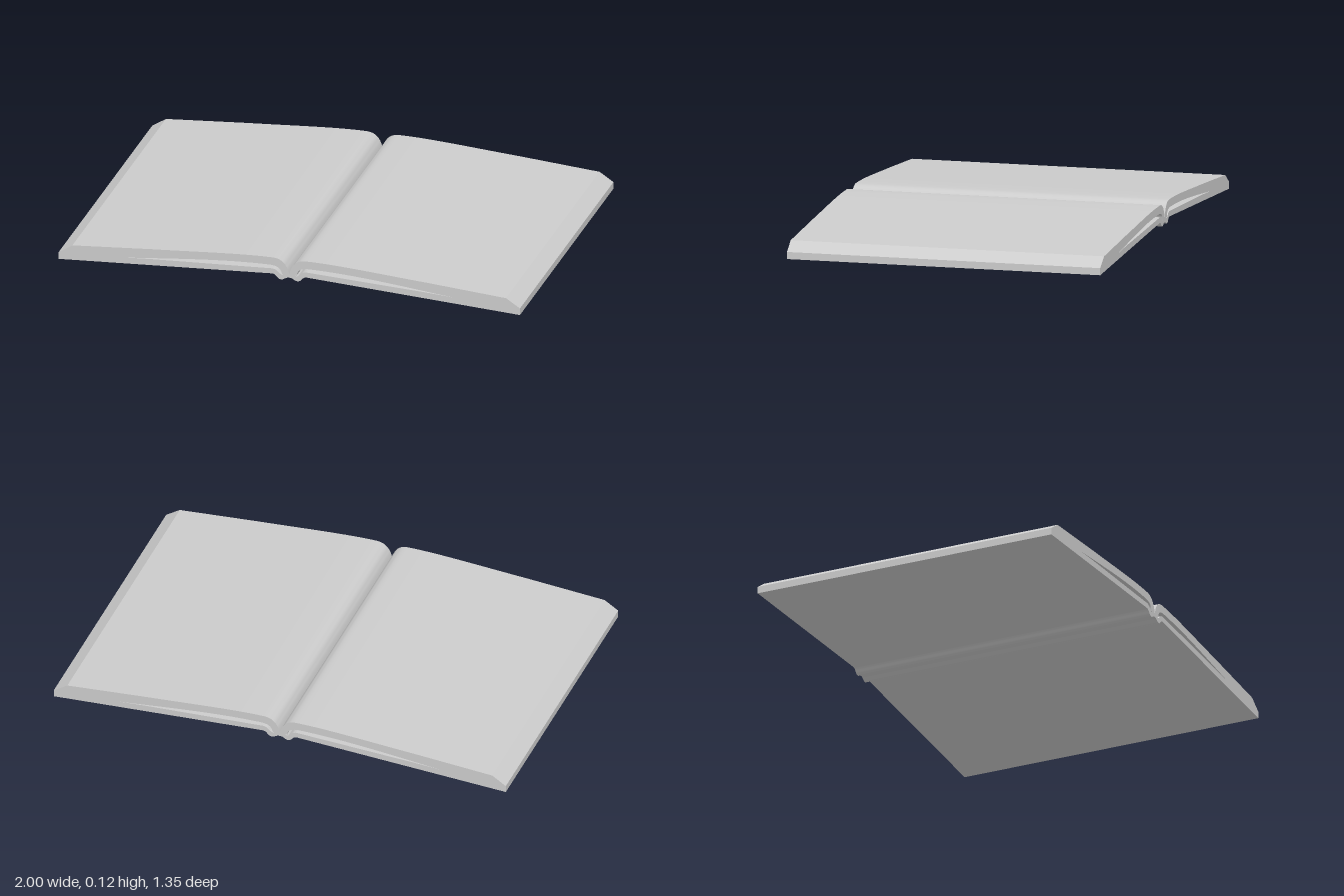
import * as THREE from 'three';
import { toCreasedNormals } from 'three/addons/utils/BufferGeometryUtils.js';

const DEPTH = 1.35;
const material = new THREE.MeshStandardMaterial({ color: 0xcccccc });

// Mirrors a half profile (spine top -> outer edge -> spine bottom) and extrudes it along z
function mirroredSlab(name, path) {
  const half = path.getPoints(10);
  const inner = half.slice(1, -1).reverse().map(p => new THREE.Vector2(-p.x, p.y));
  const outline = new THREE.Shape([...half, ...inner]);
  const geometry = new THREE.ExtrudeGeometry(outline, { depth: DEPTH, bevelEnabled: false });
  geometry.translate(0, 0, -DEPTH / 2);
  const mesh = new THREE.Mesh(toCreasedNormals(geometry, 0.5), material);
  mesh.name = name;
  return mesh;
}

export function createModel() {
  const book = new THREE.Group();
  book.name = 'openBook';

  // Pages: rise out of the gutter, slope to a bevelled fore edge, hollow beneath
  const pages = new THREE.Path();
  pages.moveTo(0, 0.058);
  pages.bezierCurveTo(0.01, 0.1, 0.03, 0.124, 0.07, 0.125);
  pages.bezierCurveTo(0.2, 0.127, 0.4, 0.108, 0.6, 0.095);
  pages.lineTo(0.94, 0.069);
  pages.lineTo(1, 0.03);
  pages.lineTo(1, 0.018);
  pages.lineTo(0.72, 0.042);
  pages.bezierCurveTo(0.5, 0.064, 0.3, 0.09, 0.09, 0.091);
  pages.bezierCurveTo(0.05, 0.091, 0.036, 0.08, 0.032, 0.056);
  pages.lineTo(0, 0.045);
  book.add(mirroredSlab('pages', pages));

  // Cover: two sloping boards joined by a spine with a fold on each side
  const cover = new THREE.Path();
  cover.moveTo(0, 0.058);
  cover.lineTo(0.03, 0.052);
  cover.bezierCurveTo(0.045, 0.052, 0.05, 0.075, 0.075, 0.075);
  cover.lineTo(0.6, 0.05);
  cover.lineTo(1, 0.024);
  cover.lineTo(1, 0);
  cover.lineTo(0.075, 0.052);
  cover.bezierCurveTo(0.055, 0.052, 0.055, 0.03, 0.035, 0.03);
  cover.bezierCurveTo(0.022, 0.03, 0.018, 0.042, 0, 0.042);
  book.add(mirroredSlab('cover', cover));

  return book;
}
